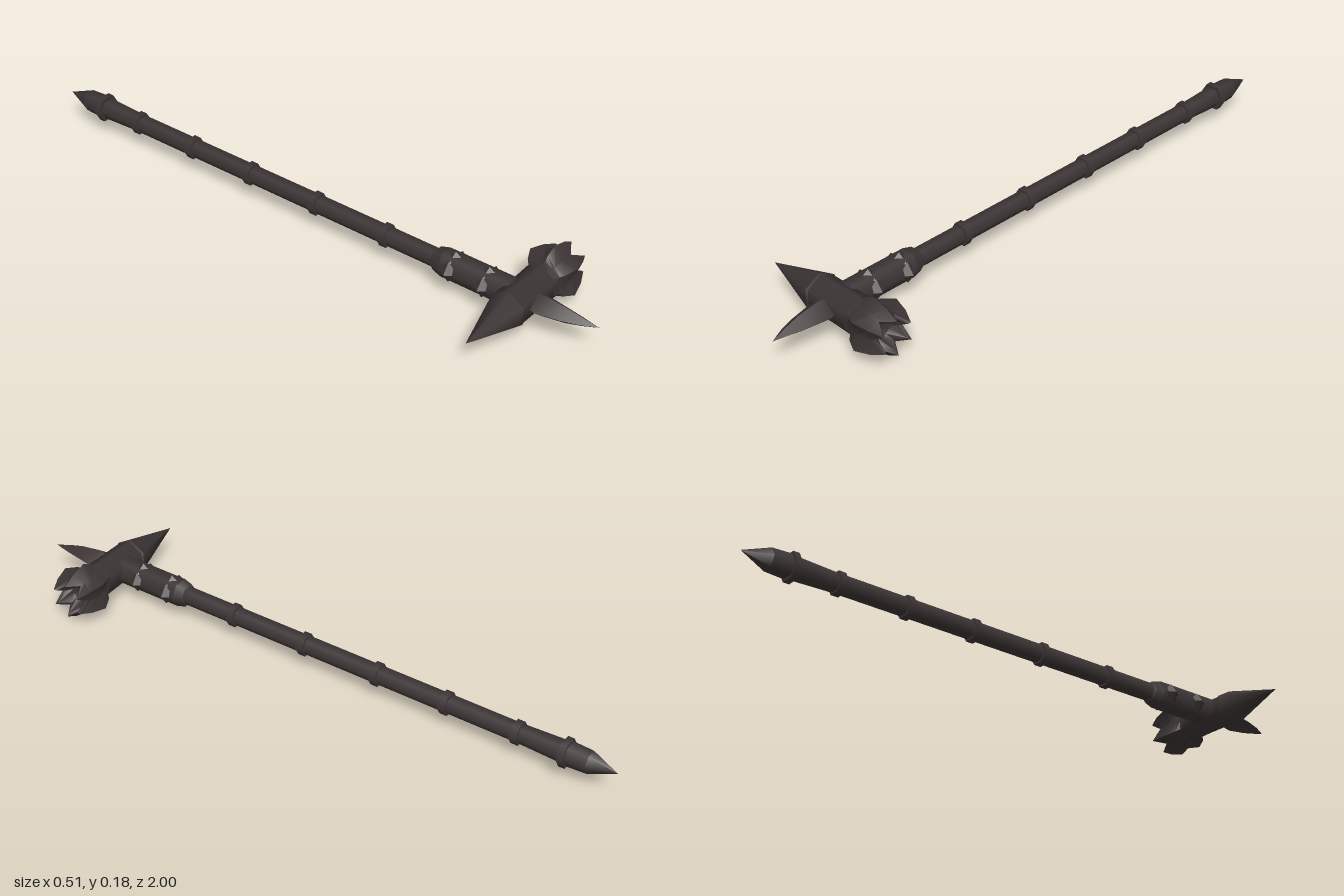
import * as THREE from 'three';
import { mergeGeometries, toCreasedNormals } from 'three/addons/utils/BufferGeometryUtils.js';

const CX = 0.013, CY = 0.093, HEAD_Z = 0.763;

// Six-sided stack of frustums from [position, radius] pairs, along +y
function hexStack(profile) {
  const parts = [];
  for (let i = 0; i < profile.length - 1; i++) {
    const [a, ra] = profile[i], [b, rb] = profile[i + 1];
    const g = new THREE.CylinderGeometry(rb, ra, b - a, 6, 1, true, Math.PI / 6);
    parts.push(g.translate(0, (a + b) / 2, 0));
  }
  return mergeGeometries(parts);
}

// Skin over closed loops of [x, y, z] points with equal counts
function loft(rows, crease) {
  const n = rows[0].length, index = [];
  for (let i = 0; i < rows.length - 1; i++) {
    for (let j = 0; j < n; j++) {
      const k = (j + 1) % n;
      const a = i * n + j, b = i * n + k, c = a + n, d = b + n;
      index.push(a, b, c, b, d, c);
    }
  }
  const g = new THREE.BufferGeometry();
  g.setAttribute('position', new THREE.Float32BufferAttribute(rows.flat(2), 3));
  g.setIndex(index);
  return toCreasedNormals(g, crease);
}

export function createModel() {
  const group = new THREE.Group();
  const iron = new THREE.MeshStandardMaterial({ color: 0x3c3434, side: THREE.DoubleSide });
  iron.name = 'darkIron';

  const add = (name, geometry) => {
    const mesh = new THREE.Mesh(geometry, iron);
    mesh.name = name;
    group.add(mesh);
    return mesh;
  };
  const alongZ = (name, profile) =>
    add(name, hexStack(profile).rotateX(Math.PI / 2).translate(CX, CY, 0));
  const alongX = (name, profile) =>
    add(name, hexStack(profile).rotateZ(-Math.PI / 2).translate(0, CY, HEAD_Z));

  // Handle with its grip rings
  alongZ('shaft', [[-0.84, 0.034], [-0.7, 0.029], [0.5, 0.029]]);
  for (const z of [0.295, 0.035, -0.222, -0.458, -0.69]) {
    alongZ('gripRing', [[z - 0.012, 0.028], [z - 0.012, 0.036], [z + 0.012, 0.036], [z + 0.012, 0.028]]);
  }

  // Pointed pommel
  alongZ('pommelRing', [[-0.852, 0.03], [-0.852, 0.045], [-0.832, 0.045], [-0.832, 0.03]]);
  alongZ('pommel', [[-1, 0], [-0.915, 0.034], [-0.85, 0.037]]);

  // Socket joining the handle to the head, with pointed studs
  alongZ('socket', [[0.47, 0.028], [0.475, 0.036], [0.505, 0.044], [0.74, 0.044]]);
  for (const z of [0.538, 0.652]) {
    for (let i = 0; i < 4; i++) {
      const a = i * Math.PI / 2, reach = i % 2 ? 0.051 : 0.058;
      const stud = add('socketStud', toCreasedNormals(new THREE.ConeGeometry(0.034, 0.024, 4), 0.3));
      stud.position.set(CX + Math.cos(a) * (reach - 0.012), CY + Math.sin(a) * (reach - 0.012), z);
      stud.rotation.z = a - Math.PI / 2;
    }
  }

  // Hammer head and rear spike
  alongX('headBody', [[-0.055, 0.056], [0.06, 0.056], [0.13, 0.058]]);
  alongX('headSpike', [[-0.256, 0], [-0.058, 0.059], [-0.052, 0.056], [-0.052, 0]]);

  // Six-pronged striking crown: [prong x, prong radius, valley x, valley radius]
  const crownRows = [
    [0.09, 0.056, 0.09, 0.0485],
    [0.121, 0.058, 0.121, 0.052],
    [0.13, 0.072, 0.13, 0.054],
    [0.165, 0.09, 0.165, 0.06],
    [0.215, 0.076, 0.195, 0.057],
    [0.255, 0.055, 0.212, 0.052],
    [0.25, 0.047, 0.21, 0.042],
    [0.19, 0.03, 0.19, 0.028],
    [0.18, 0, 0.18, 0],
  ].map(([px, pr, vx, vr]) => Array.from({ length: 12 }, (_, j) => {
    const a = j * Math.PI / 6, r = j % 2 ? vr : pr;
    return [j % 2 ? vx : px, CY + Math.cos(a) * r, HEAD_Z + Math.sin(a) * r];
  }));
  add('crown', loft(crownRows, 0.7));

  // Diamond-section front spike: [z, half width, half height, sideways shift]
  const spikeRows = [
    [0.79, 0.032, 0.028, 0],
    [0.83, 0.045, 0.036, 0],
    [0.9, 0.031, 0.026, 0.002],
    [0.95, 0.018, 0.014, 0.006],
    [1, 0, 0, 0.013],
  ].map(([z, w, h, s]) => Array.from({ length: 4 }, (_, j) => {
    const a = j * Math.PI / 2;
    return [CX + 0.003 + s + Math.cos(a) * w, CY + Math.sin(a) * h, z];
  }));
  add('frontSpike', loft(spikeRows, 0.5));

  return group;
}
